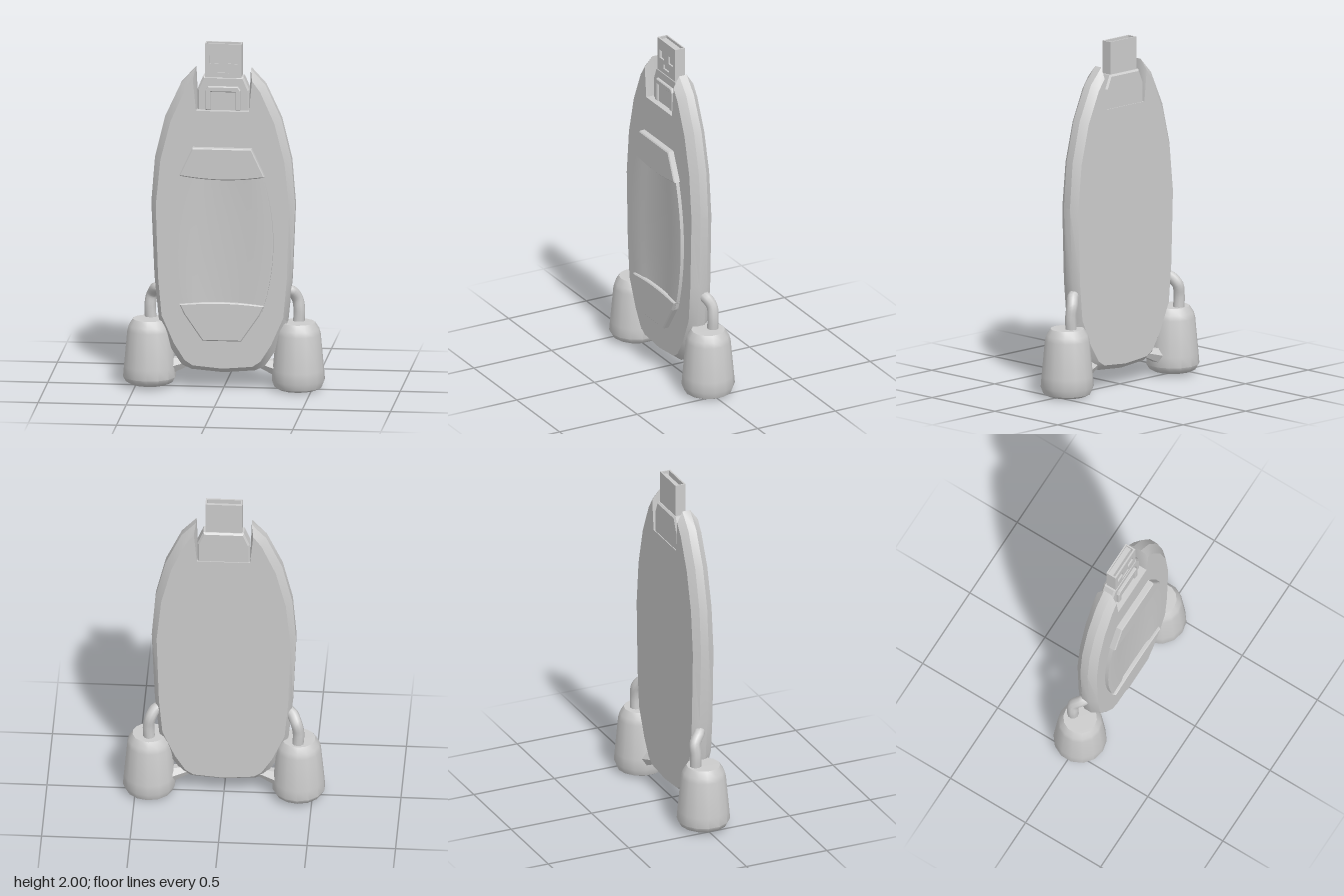
import * as THREE from 'three';
import { toCreasedNormals } from 'three/addons/utils/BufferGeometryUtils.js';

const grey = new THREE.MeshStandardMaterial({ color: 0xcccccc });
const greyDouble = new THREE.MeshStandardMaterial({ color: 0xcccccc, side: THREE.DoubleSide });

function add(parent, name, geometry, material = grey) {
  const mesh = new THREE.Mesh(geometry, material);
  mesh.name = name;
  parent.add(mesh);
  return mesh;
}

function box(parent, name, x0, x1, y0, y1, z0, z1) {
  const m = add(parent, name, new THREE.BoxGeometry(x1 - x0, y1 - y0, z1 - z0));
  m.position.set((x0 + x1) / 2, (y0 + y1) / 2, (z0 + z1) / 2);
  return m;
}

const shapeOf = (pts) => new THREE.Shape(pts.map(([x, y]) => new THREE.Vector2(x, y)));
const rectPath = (x0, x1, y0, y1) => shapeOf([[x0, y0], [x1, y0], [x1, y1], [x0, y1]]);

// Extrude a front-facing shape between z0 and z1, with an inward bevel
function slab(shape, z0, z1, bevel = 0) {
  const g = new THREE.ExtrudeGeometry(shape, {
    depth: z1 - z0 - 2 * bevel, bevelEnabled: bevel > 0, bevelThickness: bevel,
    bevelSize: bevel, bevelOffset: -bevel, bevelSegments: 1, curveSegments: 10,
  });
  return g.translate(0, 0, z0 + bevel);
}

// Mirror a right half (top to bottom) into a counter-clockwise outline
function mirrored(half) {
  const left = half.map(([x, y]) => [-x, y]);
  return [...left, ...half.slice().reverse().filter(([x]) => x > 0)];
}

// Join matching outlines at several depths and cap both ends
function loftOutlines(rings) {
  const n = rings[0].pts.length, pos = [], idx = [];
  rings.forEach(({ pts, z }) => pts.forEach(([x, y]) => pos.push(x, y, z)));
  for (let k = 0; k < rings.length - 1; k++) {
    for (let i = 0; i < n; i++) {
      const a = k * n + i, b = k * n + (i + 1) % n;
      idx.push(a, b, b + n, a, b + n, a + n);
    }
  }
  const cap = (pts) => THREE.ShapeUtils.triangulateShape(pts.map(([x, y]) => new THREE.Vector2(x, y)), []);
  const last = (rings.length - 1) * n;
  cap(rings[0].pts).forEach(([a, b, c]) => idx.push(a, c, b));
  cap(rings.at(-1).pts).forEach(([a, b, c]) => idx.push(last + a, last + b, last + c));
  const g = new THREE.BufferGeometry();
  g.setAttribute('position', new THREE.Float32BufferAttribute(pos, 3));
  g.setIndex(idx);
  return toCreasedNormals(g, 0.6);
}

function buildBody(root) {
  // Right half: notch floor, horn tip, flank, rounded foot
  const outer = [[0.15, 1.62], [0.157, 1.86], [0.24, 1.77], [0.33, 1.575], [0.387, 1.34], [0.408, 1.08],
    [0.39, 0.65], [0.365, 0.4], [0.295, 0.23], [0.235, 0.14], [0.18, 0.115], [0, 0.1]];
  const inner = [[0.15, 1.62], [0.168, 1.8], [0.215, 1.735], [0.295, 1.555], [0.352, 1.33], [0.378, 1.07],
    [0.365, 0.65], [0.345, 0.43], [0.275, 0.27], [0.215, 0.175], [0.17, 0.145], [0, 0.13]];
  const o = mirrored(outer), i = mirrored(inner);
  add(root, 'body', loftOutlines([
    { pts: i, z: -0.045 }, { pts: o, z: -0.008 }, { pts: o, z: 0.04 }, { pts: i, z: 0.083 },
  ]));
}

function buildFrontPanel(root) {
  // Bulging middle panel with a shallow central channel
  const rows = 16, cols = [-1, -1, -0.62, -0.5, 0.5, 0.62, 1, 1];
  const depth = [0.08, 0.104, 0.104, 0.097, 0.097, 0.104, 0.104, 0.08];
  const pos = [], idx = [];
  for (let r = 0; r <= rows; r++) {
    const t = r / rows, y = 0.46 + 0.81 * t;
    const w = 0.29 - 0.065 * Math.pow(Math.abs(2 * t - 1), 2);
    cols.forEach((c, k) => pos.push(c * w, y, depth[k]));
    if (r === rows) break;
    for (let k = 0; k < 7; k++) {
      const a = r * 8 + k;
      idx.push(a, a + 1, a + 9, a, a + 9, a + 8);
    }
  }
  const g = new THREE.BufferGeometry();
  g.setAttribute('position', new THREE.Float32BufferAttribute(pos, 3));
  g.setIndex(idx);
  add(root, 'frontPanel', toCreasedNormals(g, 0.5), greyDouble);

  // Raised caps with curved inner edges
  const top = shapeOf([[0.243, 1.25], [0.168, 1.412], [-0.168, 1.412], [-0.243, 1.25]]);
  top.quadraticCurveTo(0, 1.208, 0.243, 1.25);
  add(root, 'upperCap', slab(top, 0.075, 0.12, 0.006));
  const low = shapeOf([[-0.24, 0.505], [-0.215, 0.45], [-0.11, 0.297], [0.11, 0.297], [0.215, 0.45], [0.24, 0.505]]);
  low.quadraticCurveTo(0, 0.535, -0.24, 0.505);
  add(root, 'lowerCap', slab(low, 0.075, 0.12, 0.006));
}

function buildPlug(root) {
  const plug = new THREE.Group();
  plug.name = 'plug';
  root.add(plug);
  // Collar seated in the notch
  const collar = shapeOf([[-0.148, 1.61], [0.148, 1.61], [0.148, 1.735], [0.115, 1.812], [-0.115, 1.812], [-0.148, 1.735]]);
  add(plug, 'collar', slab(collar, -0.04, 0.04, 0.01));
  // Raised frame around a recess
  const frame = shapeOf([[-0.1, 1.62], [-0.07, 1.62], [-0.07, 1.725], [0.07, 1.725], [0.07, 1.62],
    [0.1, 1.62], [0.1, 1.735], [0.085, 1.757], [-0.085, 1.757], [-0.1, 1.735]]);
  add(plug, 'collarFrame', slab(frame, 0.03, 0.057, 0.005));
  box(plug, 'collarPad', -0.072, 0.072, 1.62, 1.727, 0.03, 0.046);
  // Open metal shell with windows in its front
  const face = rectPath(-0.104, 0.104, 1.8, 2);
  face.holes.push(rectPath(-0.08, -0.027, 1.885, 1.932), rectPath(0.027, 0.08, 1.885, 1.932),
    rectPath(-0.033, 0.033, 1.832, 1.86));
  add(plug, 'shellFront', slab(face, 0.027, 0.037));
  box(plug, 'shellBack', -0.104, 0.104, 1.8, 2, -0.026, -0.018);
  for (const s of [-1, 1]) {
    const side = box(plug, 'shellSide', -0.004, 0.004, 1.8, 2, -0.018, 0.027);
    side.position.x = s * 0.1;
  }
  box(plug, 'contactTongue', -0.096, 0.096, 1.8, 1.985, -0.018, 0.012);
}

function buildBooster(root, side) {
  const booster = new THREE.Group();
  booster.name = side > 0 ? 'leftBooster' : 'rightBooster';
  root.add(booster);
  const base = side > 0 ? 0 : 0.012;
  // Tapered tank with softened rims
  const profile = [[0, base + 0.005], [0.11, base + 0.007], [0.135, base + 0.02], [0.151, 0.06],
    [0.146, 0.12], [0.127, 0.325], [0.119, 0.355], [0.095, 0.392], [0, 0.394]];
  const tank = new THREE.LatheGeometry(profile.map(([x, y]) => new THREE.Vector2(x, y)), 14);
  add(booster, 'tank', toCreasedNormals(tank, 0.7)).position.x = side * 0.422;
  // Bent pipe into the flank
  const z = side > 0 ? -0.03 : -0.048;
  const path = new THREE.CatmullRomCurve3([[0.345, 0.565, 0], [0.378, 0.573, -0.005], [0.412, 0.525, z],
    [0.424, 0.46, z], [0.42, 0.37, z]].map(([x, y, pz]) => new THREE.Vector3(side * x, y, pz)));
  add(booster, 'pipe', new THREE.TubeGeometry(path, 16, 0.033, 10));
  // Wedge strut between tank and foot
  const from = new THREE.Vector3(side * 0.3, 0.125, -0.005), to = new THREE.Vector3(side * 0.19, 0.155, 0);
  const dir = to.clone().sub(from);
  const strut = add(booster, 'strut',
    toCreasedNormals(new THREE.CylinderGeometry(0.025, 0.05, dir.length(), 6), 0.3));
  strut.position.copy(from).add(to).multiplyScalar(0.5);
  strut.quaternion.setFromUnitVectors(new THREE.Vector3(0, 1, 0), dir.normalize());
}

export function createModel() {
  const root = new THREE.Group();
  root.name = 'rocketDrive';
  buildBody(root);
  buildFrontPanel(root);
  buildPlug(root);
  for (const side of [-1, 1]) buildBooster(root, side);
  return root;
}
